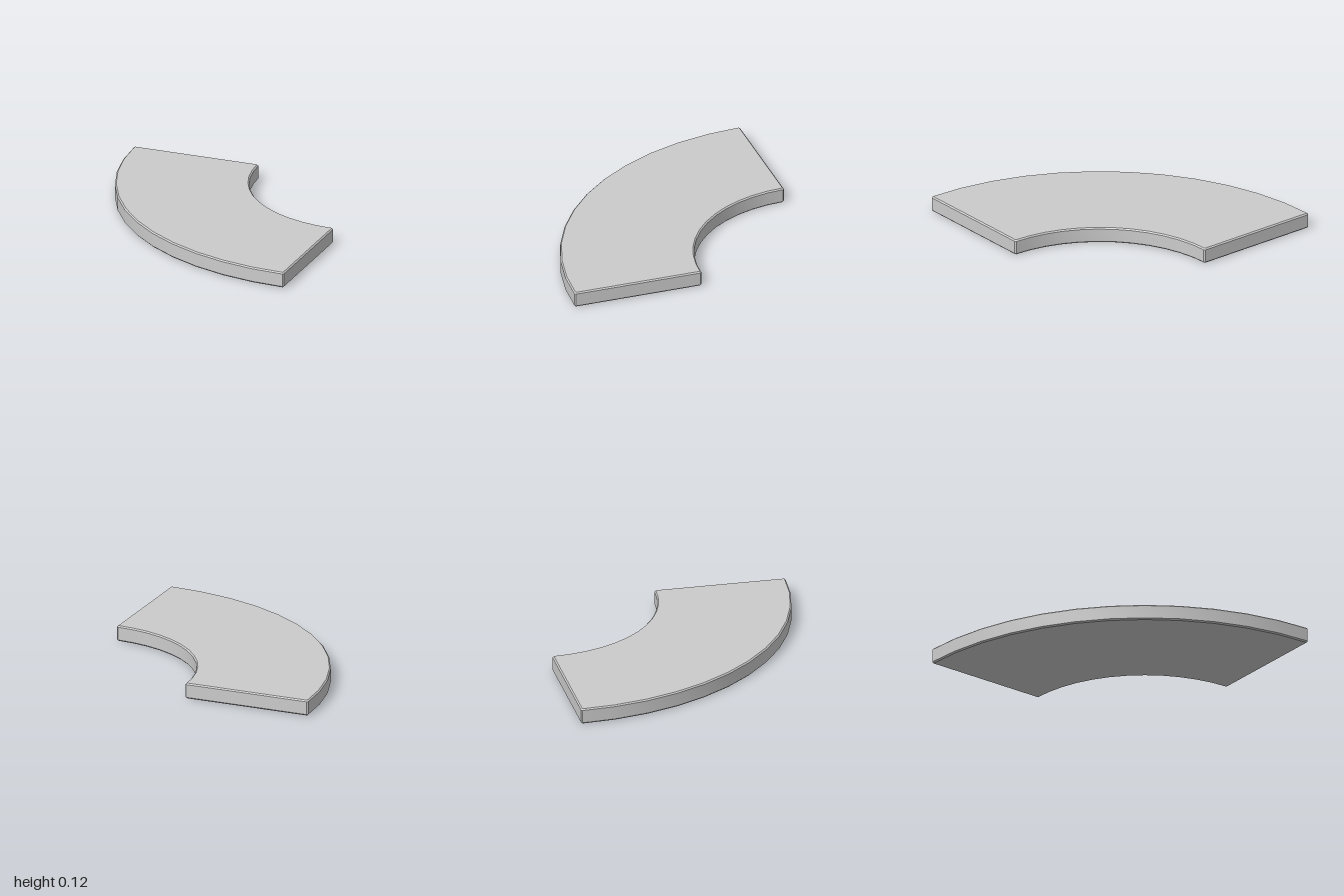
import * as THREE from 'three';
import { toCreasedNormals } from 'three/addons/utils/BufferGeometryUtils.js';

const HEIGHT = 0.12, BEVEL = 0.01, SEGMENTS = 12;

// Points of a quarter arc around (1, 1); both ends are cut back for the corner chamfers
function quarterArc(radius) {
  const points = [];
  for (let i = 0; i <= SEGMENTS; i++) {
    const a = (i / SEGMENTS) * Math.PI / 2;
    points.push(new THREE.Vector2(1 - radius * Math.cos(a), 1 - radius * Math.sin(a)));
  }
  points[0].y -= BEVEL;
  points[SEGMENTS].x -= BEVEL;
  return points;
}

export function createModel() {
  const group = new THREE.Group();
  group.name = 'curvedSlab';

  // Quarter ring outline with small chamfers at its four corners
  const outline = [
    ...quarterArc(2),
    new THREE.Vector2(1, -1 + BEVEL),
    new THREE.Vector2(1, -BEVEL),
    ...quarterArc(1).reverse(),
    new THREE.Vector2(-BEVEL, 1),
    new THREE.Vector2(-1 + BEVEL, 1),
  ];

  // Slab with a fine bevel around the top and bottom edges
  const geometry = new THREE.ExtrudeGeometry(new THREE.Shape(outline), {
    depth: HEIGHT - 2 * BEVEL,
    bevelThickness: BEVEL,
    bevelSize: BEVEL,
    bevelOffset: -BEVEL,
    bevelSegments: 1,
  });
  geometry.rotateX(-Math.PI / 2);
  geometry.translate(0, BEVEL, 0);

  const slab = new THREE.Mesh(
    toCreasedNormals(geometry, 0.5),
    new THREE.MeshStandardMaterial({ color: 0xcccccc })
  );
  slab.name = 'quarterRingSlab';
  group.add(slab);
  return group;
}
